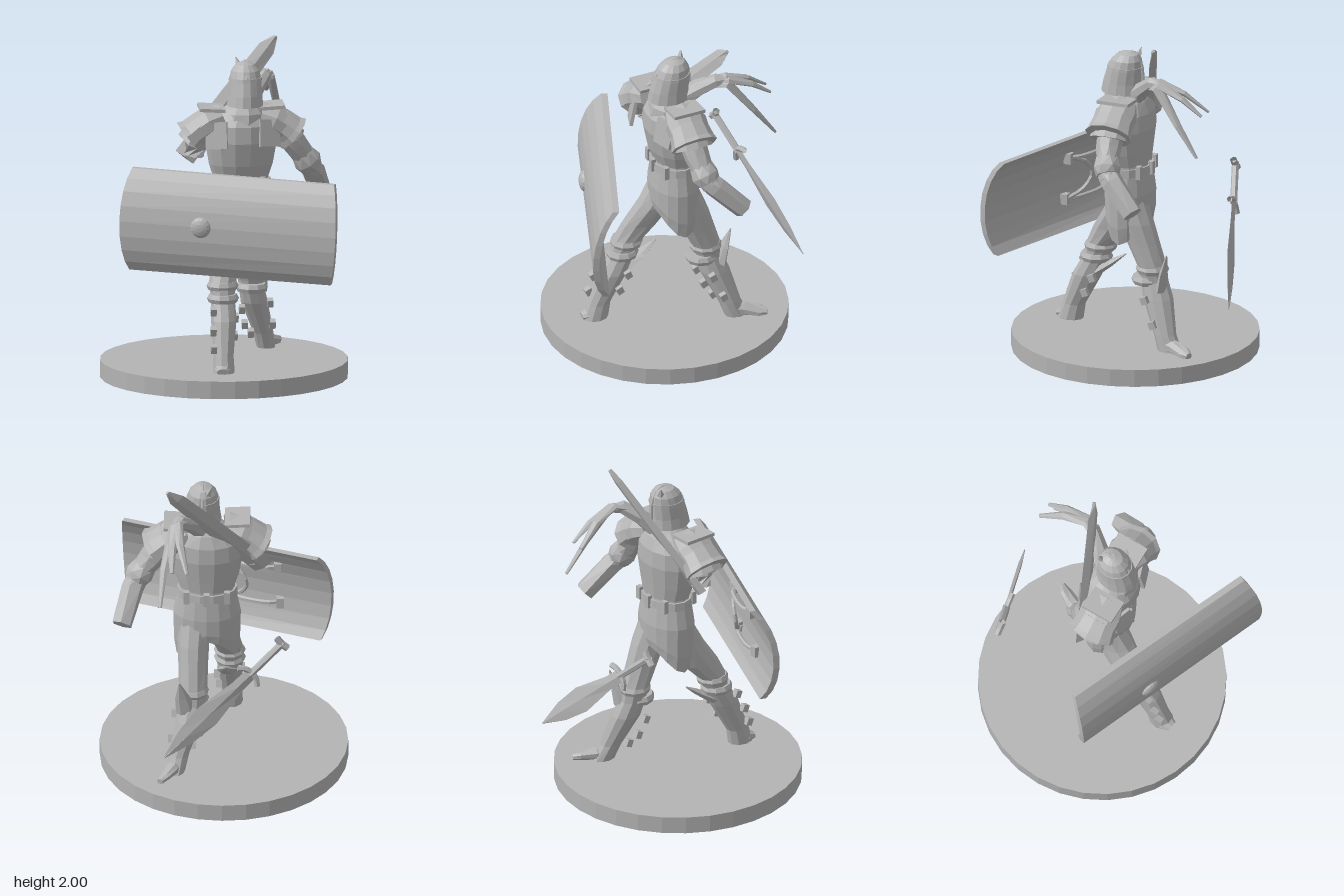
import * as THREE from 'three';

const steel = new THREE.MeshStandardMaterial({ color: 0xb4b4b4, side: THREE.DoubleSide });
steel.name = 'grey steel';
const V = (x, y, z) => new THREE.Vector3(x, y, z);
const TAU = Math.PI * 2;

// Faceted mesh from any geometry
function part(parent, name, geo, pos) {
  const g = geo.index ? geo.toNonIndexed() : geo;
  g.computeVertexNormals();
  const m = new THREE.Mesh(g, steel);
  m.name = name;
  if (pos) m.position.set(...pos);
  parent.add(m);
  return m;
}

// Skin over a row of equal loops, with fan caps
function skin(loops) {
  const n = loops[0].length, pos = [], idx = [];
  const put = (p) => pos.push(p.x, p.y, p.z) / 3 - 1;
  loops.forEach((l) => l.forEach(put));
  for (let i = 0; i < loops.length - 1; i++)
    for (let j = 0; j < n; j++) {
      const a = i * n + j, c = i * n + (j + 1) % n;
      idx.push(a, a + n, c, a + n, c + n, c);
    }
  const last = (loops.length - 1) * n;
  const mid = (l) => l.reduce((s, p) => s.add(p), V(0, 0, 0)).divideScalar(n);
  const b = put(mid(loops[0])), t = put(mid(loops[loops.length - 1]));
  for (let j = 0; j < n; j++) {
    const k = (j + 1) % n;
    idx.push(b, j, k, t, last + k, last + j);
  }
  const g = new THREE.BufferGeometry();
  g.setAttribute('position', new THREE.Float32BufferAttribute(pos, 3));
  g.setIndex(idx);
  return g;
}

// Rings [x, y, z, rx, rz]: level and rising, or square to their path
function loft(rings, sides = 10, along = false) {
  const c = rings.map((r) => V(r[0], r[1], r[2]));
  return skin(rings.map(([, , , rx, rz = rx], i) => {
    const q = new THREE.Quaternion();
    if (along) {
      const d = c[Math.min(i + 1, c.length - 1)].clone().sub(c[Math.max(i - 1, 0)]).normalize();
      q.setFromUnitVectors(V(0, 1, 0), d);
    }
    return Array.from({ length: sides }, (_, j) => {
      const t = (j / sides) * TAU;
      return V(Math.cos(t) * rx, 0, Math.sin(t) * rz).applyQuaternion(q).add(c[i]);
    });
  }));
}

// Diamond-section blade; profile of [fraction along, half width]
function blade(from, to, wide, profile, thick) {
  const d = to.clone().sub(from).normalize();
  const w = wide.clone().addScaledVector(d, -wide.dot(d)).normalize();
  const n = w.clone().cross(d);
  return skin(profile.map(([t, hw]) => {
    const c = from.clone().lerp(to, t), th = Math.min(thick, hw);
    return [[w, hw], [n, th], [w, -hw], [n, -th]].map(([a, s]) => c.clone().addScaledVector(a, s));
  }));
}

const tube = (pts, r) => new THREE.TubeGeometry(new THREE.CatmullRomCurve3(pts), 10, r, 6);

function buildShield(root) {
  const g = new THREE.Group();
  g.name = 'shield';
  root.add(g);
  const back = V(0.014, 0, -0.035);
  // Point on the curved front: u left to right, a = arc angle
  const at = (u, a) => {
    const s = Math.sin(a) / Math.sin(Math.PI / 3), b = 2 * Math.cos(a) - 1;
    const left = V(-0.57 + 0.011 * s - 0.075 * b, 0.99 + 0.3 * s, 0.18 - 0.03 * s + 0.08 * b);
    const right = V(0.584 + 0.014 * s + 0.01 * b, 0.96 + 0.297 * s, 0.645 - 0.025 * s + 0.1 * b);
    return left.lerp(right, u);
  };
  const loops = [];
  for (let j = 0; j <= 8; j++) {
    const a = (j / 4 - 1) * Math.PI / 3, l = at(0, a), r = at(1, a);
    loops.push([r, l, l.clone().add(back), r.clone().add(back)]);
  }
  part(g, 'shieldPlate', skin(loops));
  // Round boss
  const boss = part(g, 'shieldBoss', new THREE.SphereGeometry(0.063, 14, 4, 0, TAU, 0, Math.PI / 2));
  boss.position.copy(at(0.376, 0));
  boss.scale.y = 0.5;
  boss.quaternion.setFromUnitVectors(V(0, 1, 0), V(-0.368, 0, 0.93));
  // Two brackets and the grip on the inside
  const inner = (u, a, off) => at(u, a).add(V(0.368, 0, -0.93).multiplyScalar(off));
  for (const a of [0.42, -0.36]) {
    part(g, 'bracket', tube([inner(0.24, a, 0.03), inner(0.28, a, 0.075), inner(0.46, a, 0.075), inner(0.5, a, 0.03)], 0.014));
    for (const u of [0.24, 0.5]) {
      const p = inner(u, a, 0.05);
      part(g, 'bracketFoot', new THREE.BoxGeometry(0.045, 0.065, 0.045), p.toArray());
    }
  }
  part(g, 'grip', tube([inner(0.48, 0.42, 0.06), inner(0.42, 0.3, 0.1), inner(0.38, 0.03, 0.12),
    inner(0.42, -0.22, 0.1), inner(0.5, -0.36, 0.06)], 0.013));
}

function buildSwords(root) {
  part(root, 'backBlade', blade(V(-0.235, 1.32, 0), V(0.33, 1.99, -0.255), V(0.85, -0.52, 0.1),
    [[0, 0.065], [0.5, 0.062], [0.9, 0.052], [1, 0.012]], 0.016));
  // Loose leaf-shaped sword behind the figure
  const g = new THREE.Group();
  g.name = 'looseSword';
  root.add(g);
  const a = V(-0.36, 1.1, -0.49), b = V(0.345, 0.44, -0.745), w = V(0.68, 0.73, 0);
  const p = (t, s = 0) => a.clone().lerp(b, t).addScaledVector(w, s);
  part(g, 'swordBlade', blade(p(0.27), b, w,
    [[0, 0.04], [0.15, 0.04], [0.5, 0.078], [0.75, 0.058], [1, 0.003]], 0.012));
  part(g, 'swordHandle', tube([a, p(0.14), p(0.28)], 0.022));
  part(g, 'swordGuard', tube([p(0.3, -0.085), p(0.27, -0.04), p(0.27, 0.04), p(0.3, 0.085)], 0.018));
  part(g, 'swordPommel', tube([p(0.01, -0.045), p(0.015), p(0.01, 0.045)], 0.022));
}

function buildLegs(root) {
  part(root, 'frontLeg', loft([
    [-0.04, 0.1, 0.435, 0.065, 0.08], [-0.04, 0.2, 0.41, 0.06, 0.07], [-0.03, 0.4, 0.32, 0.076, 0.09],
    [-0.03, 0.52, 0.26, 0.07, 0.08], [-0.03, 0.6, 0.235, 0.08, 0.088], [-0.01, 0.72, 0.15, 0.085, 0.12],
    [0.02, 0.85, 0.07, 0.095, 0.12], [0.03, 0.98, 0.01, 0.1, 0.11]]));
  part(root, 'backLeg', loft([
    [0.28, 0.1, -0.34, 0.055, 0.075], [0.26, 0.2, -0.3, 0.06, 0.068], [0.2, 0.4, -0.23, 0.08, 0.092],
    [0.18, 0.5, -0.2, 0.075, 0.082], [0.18, 0.58, -0.185, 0.085, 0.088], [0.18, 0.72, -0.13, 0.088, 0.1],
    [0.18, 0.85, -0.08, 0.095, 0.11], [0.17, 0.98, -0.03, 0.1, 0.11]]));
  part(root, 'backFoot', loft([[0.27, 0.14, -0.29, 0.045], [0.3, 0.135, -0.38, 0.045, 0.04],
    [0.345, 0.125, -0.46, 0.04, 0.025], [0.37, 0.12, -0.5, 0.02]], 8, true));
  part(root, 'frontFoot', loft([[-0.04, 0.13, 0.39, 0.05], [-0.05, 0.13, 0.47, 0.05, 0.035],
    [-0.055, 0.12, 0.515, 0.035, 0.02]], 8, true));
  // Knee bands, rear wings and shin buckles
  const legs = [
    { x: -0.03, z: 0.235, y: 0.59, wing: [[-0.02, 0.44, 0.24], [0.0, 0.5, 0.15], [0.0, 0.565, 0.06]],
      shin: [[-0.095, 0.46, 0.37], [-0.1, 0.35, 0.42], [-0.1, 0.25, 0.45], [0.045, 0.4, 0.26], [0.035, 0.3, 0.31]] },
    { x: 0.18, z: -0.185, y: 0.57, wing: [[0.22, 0.46, -0.26], [0.24, 0.57, -0.28], [0.26, 0.69, -0.31]],
      shin: [[0.12, 0.37, -0.15], [0.14, 0.27, -0.19], [0.18, 0.21, -0.23], [0.29, 0.4, -0.18], [0.31, 0.26, -0.24]] }];
  for (const l of legs) {
    for (const d of [0, -0.07])
      part(root, 'kneeBand', loft([[l.x, l.y + d - 0.025, l.z - d * 0.4, 0.085, 0.09],
        [l.x, l.y + d, l.z - d * 0.4, 0.095, 0.1], [l.x, l.y + d + 0.025, l.z - d * 0.4, 0.082, 0.088]]));
    part(root, 'kneeWing', loft(l.wing.map((p, i) => [...p, [0.06, 0.045, 0.004][i], [0.03, 0.02, 0.004][i]]), 6, true));
    for (const p of l.shin) part(root, 'shinBuckle', new THREE.BoxGeometry(0.035, 0.045, 0.04), p).rotation.x = 0.4;
  }
}

function buildBody(root) {
  part(root, 'cuirass', loft([
    [0.1, 1.12, -0.01, 0.175, 0.13], [0.1, 1.2, -0.01, 0.165, 0.122], [0.1, 1.28, 0, 0.19, 0.14],
    [0.1, 1.42, 0.005, 0.215, 0.162], [0.1, 1.52, 0.005, 0.205, 0.155], [0.105, 1.59, 0, 0.14, 0.12],
    [0.11, 1.63, 0, 0.09, 0.09]], 14));
  part(root, 'scarf', loft([[0.11, 1.53, 0.02, 0.13, 0.135], [0.115, 1.59, 0.02, 0.125, 0.12],
    [0.12, 1.64, 0.015, 0.085, 0.09], [0.12, 1.7, 0.01, 0.08, 0.085]], 9));
  part(root, 'belt', loft([[0.1, 1.14, -0.01, 0.182, 0.137], [0.1, 1.19, -0.01, 0.178, 0.134]], 14));
  for (const x of [-0.02, 0.1, 0.22]) {
    part(root, 'beltLoop', new THREE.BoxGeometry(0.035, 0.08, 0.03), [x, 1.17, x === 0.1 ? 0.125 : 0.095]);
    part(root, 'beltLoop', new THREE.BoxGeometry(0.035, 0.08, 0.03), [x, 1.17, x === 0.1 ? -0.145 : -0.115]);
  }
  // Armoured skirt, hanging lowest at the sides
  const ring = (y, rx, rz, drop = 0) => Array.from({ length: 16 }, (_, j) => {
    const t = (j / 16) * TAU;
    return V(0.1 + Math.cos(t) * rx, y - drop * Math.cos(t) ** 2, -0.01 + Math.sin(t) * rz);
  });
  part(root, 'skirt', skin([ring(0.87, 0.18, 0.13, 0.15), ring(0.92, 0.195, 0.142, 0.1),
    ring(1.02, 0.2, 0.145), ring(1.15, 0.175, 0.13)]));

  // Helmet with ridge and small crest
  part(root, 'helmet', loft([
    [0.122, 1.635, 0.03, 0.108, 0.13], [0.124, 1.7, 0.027, 0.1, 0.12], [0.125, 1.79, 0.012, 0.095, 0.107],
    [0.125, 1.84, 0.002, 0.083, 0.092], [0.125, 1.875, -0.006, 0.055, 0.064], [0.125, 1.89, -0.01, 0.018, 0.022]], 14));
  part(root, 'helmetBand', loft([[0.125, 1.78, 0.013, 0.099, 0.111], [0.125, 1.8, 0.01, 0.097, 0.109]], 14));
  part(root, 'helmetRidge', tube([V(0.125, 1.66, -0.1), V(0.125, 1.8, -0.096), V(0.125, 1.875, -0.06),
    V(0.125, 1.888, 0), V(0.125, 1.8, 0.115)], 0.009));
  part(root, 'helmetCrest', loft([[0.1, 1.84, -0.05, 0.03], [0.075, 1.905, -0.07, 0.003]], 5));

  // Scarf tails blown backwards
  const tails = [
    [[0.22, 1.74, -0.17], [0.27, 1.775, -0.27], [0.25, 1.72, -0.42], [0.21, 1.61, -0.56]],
    [[0.23, 1.74, -0.17], [0.29, 1.765, -0.28], [0.3, 1.7, -0.43], [0.3, 1.61, -0.55]],
    [[0.23, 1.73, -0.18], [0.3, 1.75, -0.27], [0.35, 1.55, -0.42], [0.37, 1.37, -0.55]]];
  part(root, 'scarfKnot', loft([[0.14, 1.62, -0.06, 0.06], [0.19, 1.69, -0.13, 0.055, 0.045],
    [0.26, 1.76, -0.22, 0.04], [0.28, 1.76, -0.28, 0.025]], 7, true));
  for (const t of tails)
    part(root, 'scarfTail', loft(t.map((p, i) => [...p, [0.03, 0.034, 0.026, 0.012][i], [0.018, 0.022, 0.016, 0.008][i]]), 6, true));
}

function buildArms(root) {
  // Layered shoulder plates; s is the outward direction
  for (const [s, x, z] of [[1, 0.29, 0.0], [-1, -0.09, 0.055]]) {
    const g = new THREE.Group();
    g.name = s > 0 ? 'leftPauldron' : 'rightPauldron';
    root.add(g);
    part(g, 'shoulderCap', loft([[x - s * 0.08, 1.57, z, 0.08, 0.1], [x, 1.54, z, 0.1, 0.13],
      [x + s * 0.07, 1.49, z, 0.095, 0.125]], 10, true));
    part(g, 'shoulderPlate', loft([[x + s * 0.03, 1.53, z, 0.09, 0.12], [x + s * 0.1, 1.47, z, 0.1, 0.135],
      [x + s * 0.125, 1.45, z, 0.115, 0.145]], 10, true));
    part(g, 'shoulderFlare', loft([[x + s * 0.06, 1.5, z, 0.085, 0.11], [x + s * 0.11, 1.42, z, 0.09, 0.12]], 10, true));
    const collar = part(g, 'shoulderCollar', new THREE.BoxGeometry(0.15, 0.02, 0.2), [x - s * 0.01, 1.625, z]);
    collar.rotation.z = s * 0.06;
    const rim = part(g, 'chestGuard', new THREE.BoxGeometry(0.13, 0.16, 0.02), [x - s * 0.03, 1.48, z + 0.125]);
    rim.rotation.set(-0.2, s * 0.35, 0);
  }
  part(root, 'rightUpperArm', loft([[-0.13, 1.5, 0.05, 0.075], [-0.17, 1.4, 0.04, 0.07], [-0.18, 1.34, 0.03, 0.06]], 8, true));
  part(root, 'leftUpperArm', loft([[0.35, 1.49, 0, 0.085], [0.43, 1.38, -0.01, 0.075],
    [0.5, 1.28, -0.03, 0.065], [0.535, 1.22, -0.06, 0.06]], 8, true));
  part(root, 'leftForearm', loft([[0.5, 1.27, -0.02, 0.062], [0.54, 1.21, -0.08, 0.068],
    [0.6, 1.05, -0.235, 0.062]], 6, true));
  part(root, 'elbowGuard', loft([[0.465, 1.33, -0.02, 0.07], [0.5, 1.28, -0.03, 0.085], [0.525, 1.245, -0.045, 0.07]], 8, true));
}

export function createModel() {
  const root = new THREE.Group();
  root.name = 'armouredFighter';
  part(root, 'base', new THREE.CylinderGeometry(0.735, 0.735, 0.105, 32), [0, 0.0525, 0]);
  buildLegs(root);
  buildBody(root);
  buildArms(root);
  buildShield(root);
  buildSwords(root);
  return root;
}
